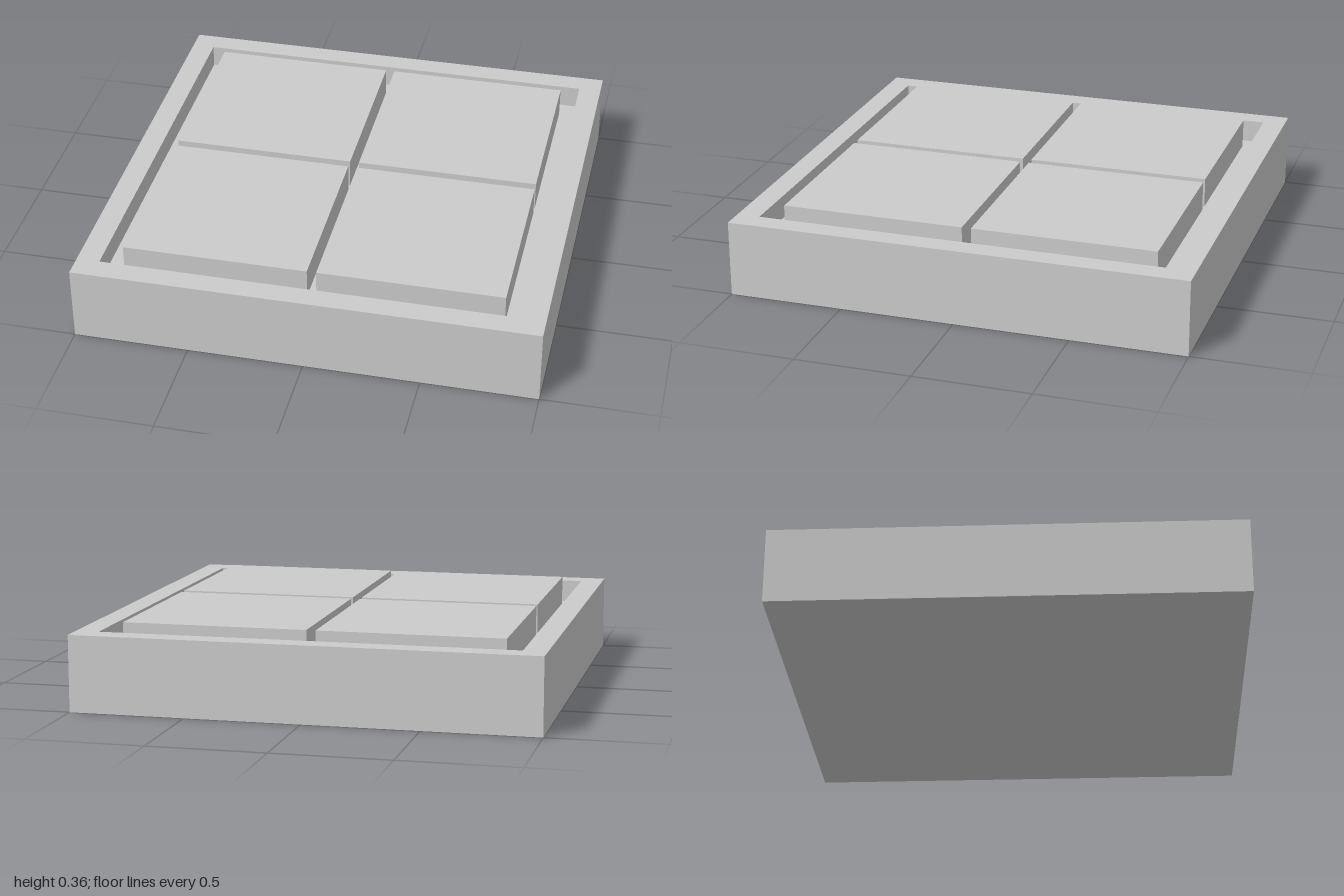
import * as THREE from 'three';

const material = new THREE.MeshStandardMaterial({ color: 0xcccccc, flatShading: true });

// Square tray turned as a four-sided lathe; profile is [half width, height]
function trayGeometry() {
  const profile = [[0, 0], [1, 0], [1, 0.33], [0.9, 0.33], [0.9, 0.23], [0, 0.23]];
  const points = profile.map(([half, y]) => new THREE.Vector2(half * Math.SQRT2, y));
  const geometry = new THREE.LatheGeometry(points, 4, Math.PI / 4).toNonIndexed();
  geometry.computeVertexNormals();
  return geometry;
}

export function createModel() {
  const model = new THREE.Group();
  model.name = 'tiledTray';

  // Solid base with a raised rim around a recess
  const tray = new THREE.Mesh(trayGeometry(), material);
  tray.name = 'tray';
  model.add(tray);

  // Four square tiles standing on the recess floor, just proud of the rim
  const floor = 0.23, top = 0.36;
  const tileGeometry = new THREE.BoxGeometry(0.8, top - floor, 0.8);
  for (const x of [-1, 1]) {
    for (const z of [-1, 1]) {
      const tile = new THREE.Mesh(tileGeometry, material);
      tile.name = `${z > 0 ? 'front' : 'back'}${x > 0 ? 'Left' : 'Right'}Tile`;
      tile.position.set(x * 0.42, (floor + top) / 2, z * 0.42);
      model.add(tile);
    }
  }
  return model;
}
